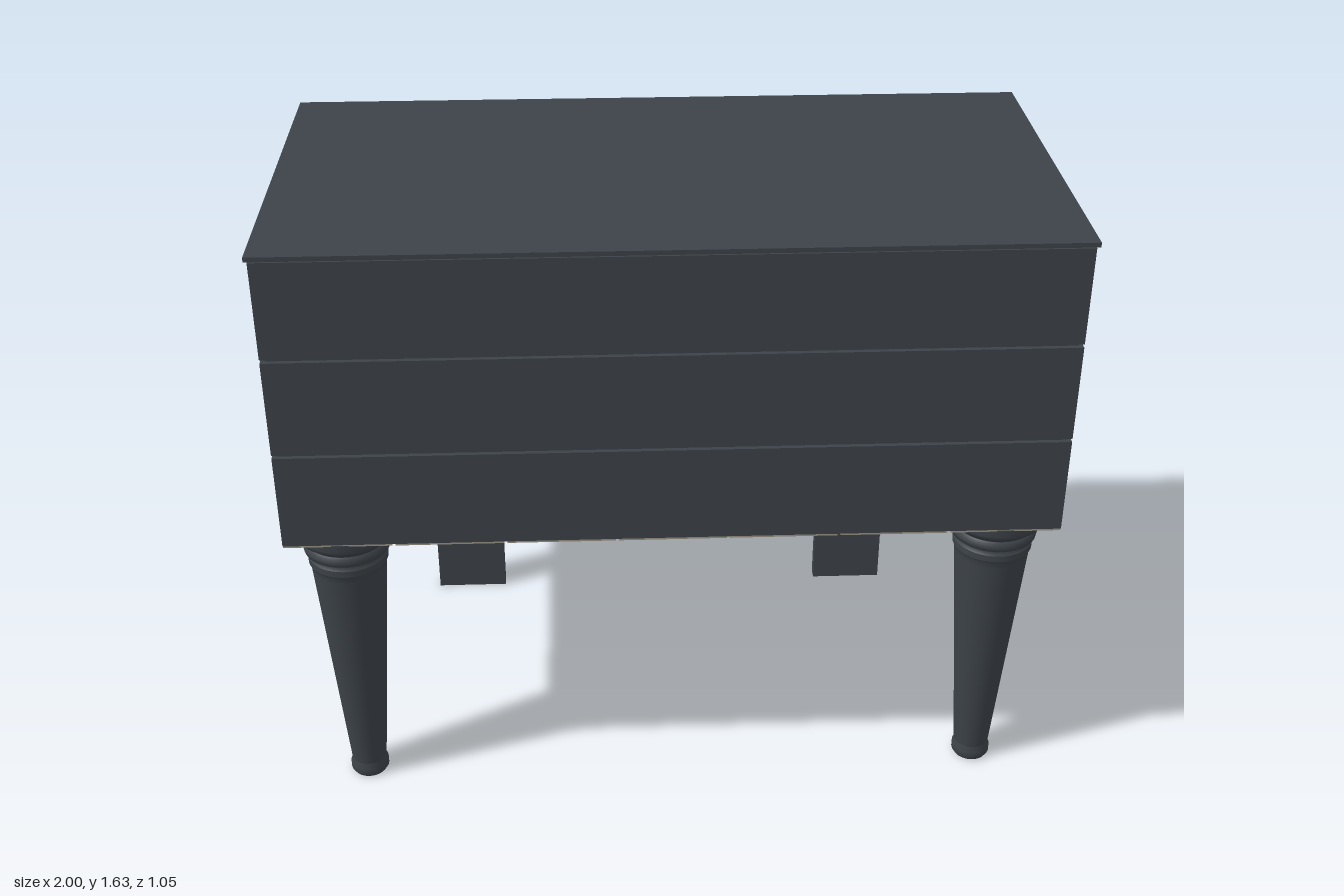
import * as THREE from 'three';

export function createModel() {
  const model = new THREE.Group();
  const slate = new THREE.MeshStandardMaterial({ name: 'slate paint', color: 0x3d4349 });
  const wood = new THREE.MeshStandardMaterial({ name: 'pale wood', color: 0x9a9483 });

  // Box given by its lower and upper limits on each axis
  function box(name, material, [x0, x1], [y0, y1], [z0, z1]) {
    const mesh = new THREE.Mesh(new THREE.BoxGeometry(x1 - x0, y1 - y0, z1 - z0), material);
    mesh.position.set((x0 + x1) / 2, (y0 + y1) / 2, (z0 + z1) / 2);
    mesh.name = name;
    model.add(mesh);
    return mesh;
  }

  // Inner core behind the plank grooves, with a plain back panel
  box('core', slate, [-0.982, 0.982], [0.836, 1.622], [-0.49, 0.505]);
  box('backPanel', slate, [-0.982, 0.982], [0.83, 1.622], [-0.5, -0.485]);

  // Three planks wrapping the front and both sides
  const rows = [[0.83, 1.088], [1.097, 1.353], [1.362, 1.616]];
  for (const row of rows) {
    box('frontPlank', slate, [-0.993, 0.993], row, [0.5, 0.517]);
    for (const s of [-1, 1]) {
      box('sidePlank', slate, s < 0 ? [-0.993, -0.975] : [0.975, 0.993], row, [-0.5, 0.505]);
    }
  }

  // Overhanging lid
  box('lid', slate, [-1, 1], [1.622, 1.634], [-0.508, 0.525]);

  // Floor boards running front to back, with narrow gaps
  const boards = 7, pitch = 1.984 / boards;
  for (let i = 0; i < boards; i++) {
    const x = -0.992 + i * pitch;
    const gap = i < boards - 1 ? 0.008 : 0;
    box('floorBoard', wood, [x, x + pitch - gap], [0.824, 0.838], [-0.498, 0.515]);
  }

  // Small round plugs under the floor
  for (const x of [-0.36, 0.36]) {
    const plug = new THREE.Mesh(new THREE.CylinderGeometry(0.027, 0.027, 0.008, 24), wood);
    plug.name = 'floorPlug';
    plug.position.set(x, 0.823, 0.05);
    model.add(plug);
  }

  // Turned front legs
  const profile = [
    [0, 0], [0.046, 0], [0.052, 0.01], [0.052, 0.028], [0.046, 0.042],
    [0.048, 0.05], [0.098, 0.69], [0.1, 0.705], [0.104, 0.712], [0.104, 0.73],
    [0.098, 0.738], [0.1, 0.744], [0.112, 0.75], [0.114, 0.762], [0.11, 0.772],
    [0.106, 0.776], [0.112, 0.785], [0.126, 0.795], [0.129, 0.805], [0.129, 0.826], [0, 0.826],
  ];
  // Repeated points keep the sharp steps of the turning crisp
  const points = profile.flatMap(([r, y], i) => {
    const p = new THREE.Vector2(r, y);
    return [1, 5, 6, 8, 9, 15, 19].includes(i) ? [p, new THREE.Vector2(r, y + 0.0005)] : [p];
  });
  const legGeometry = new THREE.LatheGeometry(points, 40);
  for (const x of [-0.85, 0.85]) {
    const leg = new THREE.Mesh(legGeometry, slate);
    leg.name = 'frontLeg';
    leg.position.set(x, 0, 0.388);
    model.add(leg);
  }

  // Flat back legs
  for (const x of [-0.605, 0.605]) {
    box('backLeg', slate, [x - 0.105, x + 0.105], [0, 0.828], [-0.525, -0.49]);
  }

  return model;
}
